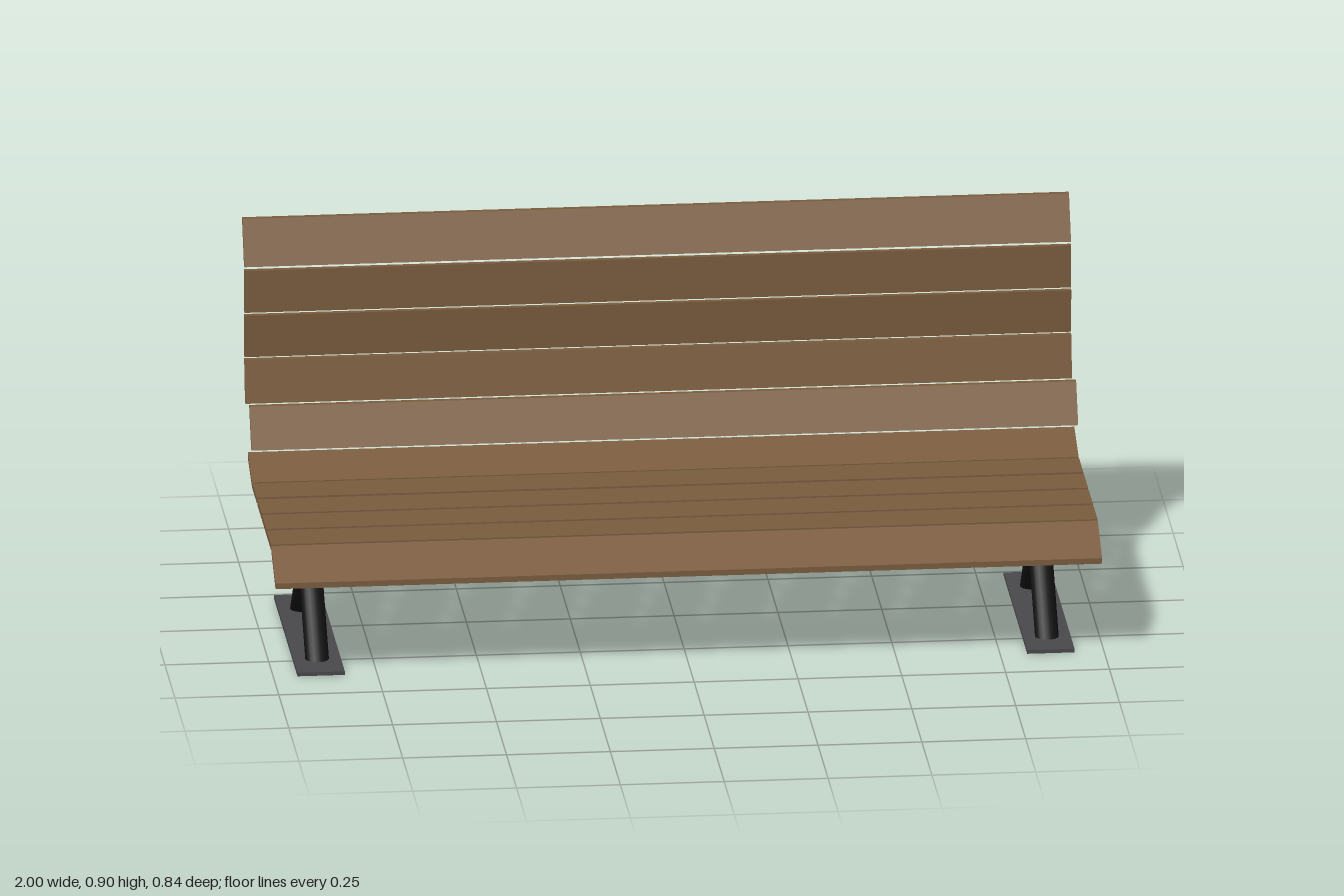
import * as THREE from 'three';

const wood = new THREE.MeshStandardMaterial({ color: 0x7a5c3e });
wood.name = 'brownWood';
const iron = new THREE.MeshStandardMaterial({ color: 0x101010 });
iron.name = 'blackIron';
const steel = new THREE.MeshStandardMaterial({ color: 0x48484a });
steel.name = 'greySteel';

const SLAT_LENGTH = 1.99;
const THICK = 0.014;

function addMesh(parent, name, geometry, material, x, y, z) {
  const mesh = new THREE.Mesh(geometry, material);
  mesh.name = name;
  mesh.position.set(x, y, z);
  parent.add(mesh);
}

// Skews a geometry: zPerY leans it along z, yPerZ tilts it along y
function skew(geometry, zPerY, yPerZ) {
  return geometry.applyMatrix4(new THREE.Matrix4().makeShear(0, 0, 0, zPerY, 0, yPerZ));
}

export function createModel() {
  const bench = new THREE.Group();
  bench.name = 'bench';

  // Seat slats, front to back: [front z, front y, back z, back y] of the centre line
  const seat = new THREE.Group();
  seat.name = 'seat';
  bench.add(seat);
  [
    [0.419, 0.247, 0.314, 0.307],
    [0.306, 0.308, 0.2, 0.308],
    [0.188, 0.308, 0.082, 0.308],
    [0.07, 0.308, -0.035, 0.308],
    [-0.049, 0.308, -0.154, 0.308],
    [-0.165, 0.307, -0.271, 0.348],
  ].forEach(([z0, y0, z1, y1]) => {
    const box = new THREE.BoxGeometry(SLAT_LENGTH, THICK, z0 - z1);
    skew(box, 0, (y0 - y1) / (z0 - z1));
    addMesh(seat, 'seatSlat', box, wood, -0.005, (y0 + y1) / 2, (z0 + z1) / 2);
  });

  // Backrest slats, bottom to top: [bottom z, bottom y, top z, top y, x offset]
  const back = new THREE.Group();
  back.name = 'backrest';
  bench.add(back);
  [
    [-0.285, 0.356, -0.336, 0.45, 0.005],
    [-0.335, 0.458, -0.356, 0.562, -0.005],
    [-0.359, 0.568, -0.355, 0.674, -0.005],
    [-0.356, 0.681, -0.356, 0.787, -0.005],
    [-0.36, 0.795, -0.411, 0.9, -0.005],
  ].forEach(([z0, y0, z1, y1, x]) => {
    const box = new THREE.BoxGeometry(SLAT_LENGTH, y1 - y0, THICK);
    skew(box, (z1 - z0) / (y1 - y0), 0);
    addMesh(back, 'backSlat', box, wood, x, (y0 + y1) / 2, (z0 + z1) / 2);
  });

  // Crossed legs on a flat foot plate, one set near each end
  for (const x of [-0.885, 0.872]) {
    const support = new THREE.Group();
    support.name = 'legSupport';
    support.position.x = x;
    bench.add(support);
    addMesh(support, 'footPlate', new THREE.BoxGeometry(0.114, 0.009, 0.586), steel, 0, 0.0045, 0.073);
    for (const [z0, z1] of [[0.264, -0.025], [-0.115, 0.172]]) {
      const height = 0.293;
      const leg = new THREE.CylinderGeometry(0.0285, 0.0285, height, 20);
      skew(leg, (z1 - z0) / height, 0);
      addMesh(support, 'crossLeg', leg, iron, 0, 0.009 + height / 2, (z0 + z1) / 2);
    }
  }
  return bench;
}
